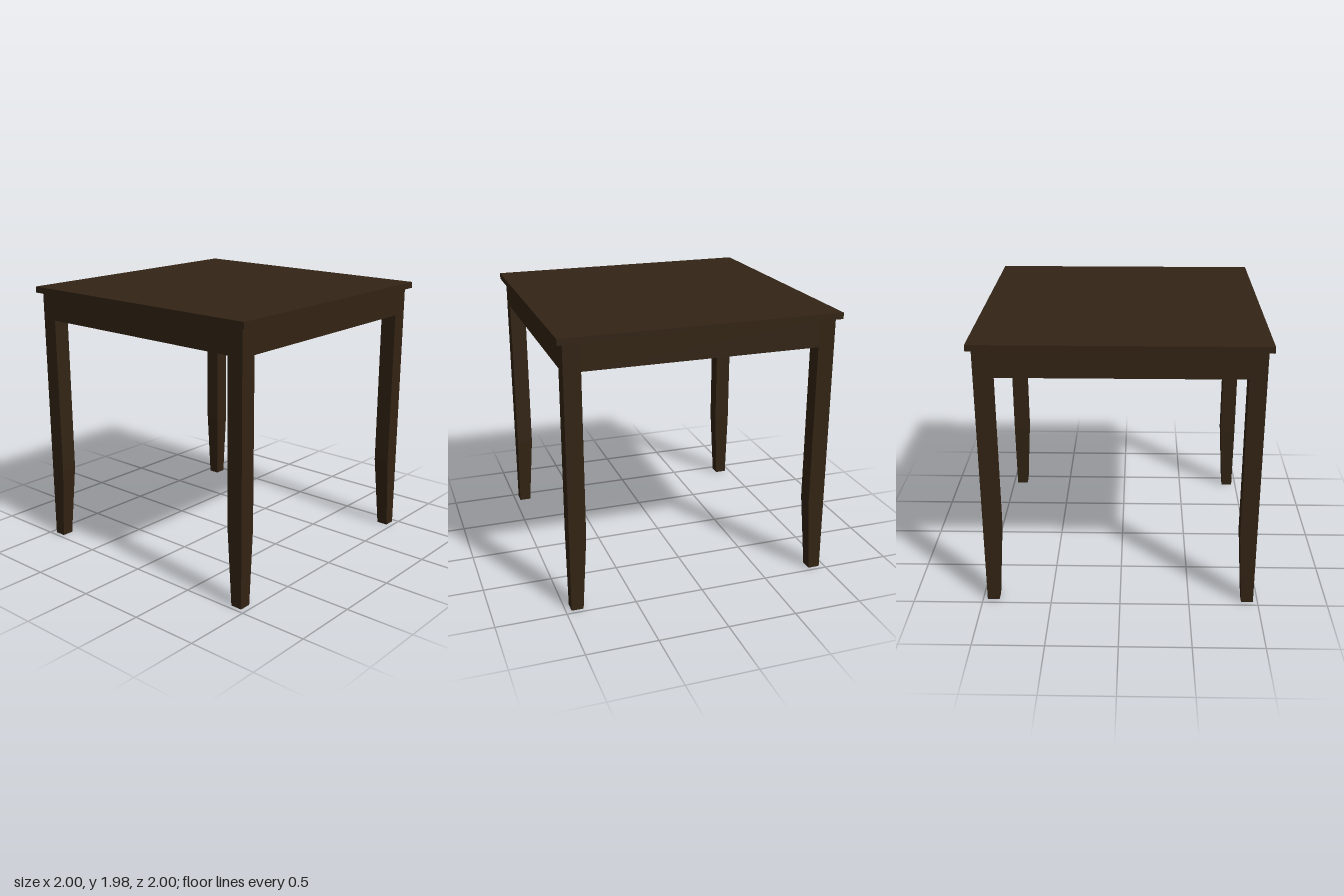
import * as THREE from 'three';

const TOP_Y = 1.975, UNDER_Y = 1.93, APRON_Y = 1.735, TAPER_Y = 0.55;
const OUT_X = 0.967, OUT_Z = 0.96; // outer faces of legs and aprons
const LEG = 0.12, FOOT = 0.086, APRON = 0.06;

const wood = new THREE.MeshStandardMaterial({ color: 0x332414 });

function addBox(group, name, size, position) {
  const mesh = new THREE.Mesh(new THREE.BoxGeometry(...size), wood);
  mesh.name = name;
  mesh.position.set(...position);
  group.add(mesh);
}

// Square leg whose two inner faces taper towards the foot
function legGeometry(sx, sz) {
  const box = new THREE.BoxGeometry(1, 2, 1, 1, 2, 1);
  const p = box.attributes.position;
  for (let i = 0; i < p.count; i++) {
    const row = Math.round(p.getY(i)); // -1 foot, 0 taper start, 1 top
    const width = row < 0 ? FOOT : LEG;
    const y = row < 0 ? 0 : row === 0 ? TAPER_Y : UNDER_Y;
    const x = p.getX(i) * sx > 0 ? OUT_X : OUT_X - width;
    const z = p.getZ(i) * sz > 0 ? OUT_Z : OUT_Z - width;
    p.setXYZ(i, sx * x, y, sz * z);
  }
  const geometry = box.toNonIndexed();
  geometry.computeVertexNormals();
  return geometry;
}

export function createModel() {
  const table = new THREE.Group();
  table.name = 'table';

  addBox(table, 'tableTop', [2, TOP_Y - UNDER_Y, 2], [0, (TOP_Y + UNDER_Y) / 2, 0]);

  // Legs at the four corners
  for (const sx of [-1, 1]) {
    for (const sz of [-1, 1]) {
      const leg = new THREE.Mesh(legGeometry(sx, sz), wood);
      leg.name = (sz > 0 ? 'front' : 'back') + (sx > 0 ? 'Left' : 'Right') + 'Leg';
      table.add(leg);
    }
  }

  // Aprons between the legs, flush with their outer faces
  const h = UNDER_Y - APRON_Y, y = (UNDER_Y + APRON_Y) / 2;
  for (const s of [-1, 1]) {
    addBox(table, s > 0 ? 'frontApron' : 'backApron',
      [2 * (OUT_X - LEG), h, APRON], [0, y, s * (OUT_Z - APRON / 2)]);
    addBox(table, s > 0 ? 'leftApron' : 'rightApron',
      [APRON, h, 2 * (OUT_Z - LEG)], [s * (OUT_X - APRON / 2), y, 0]);
  }
  return table;
}
